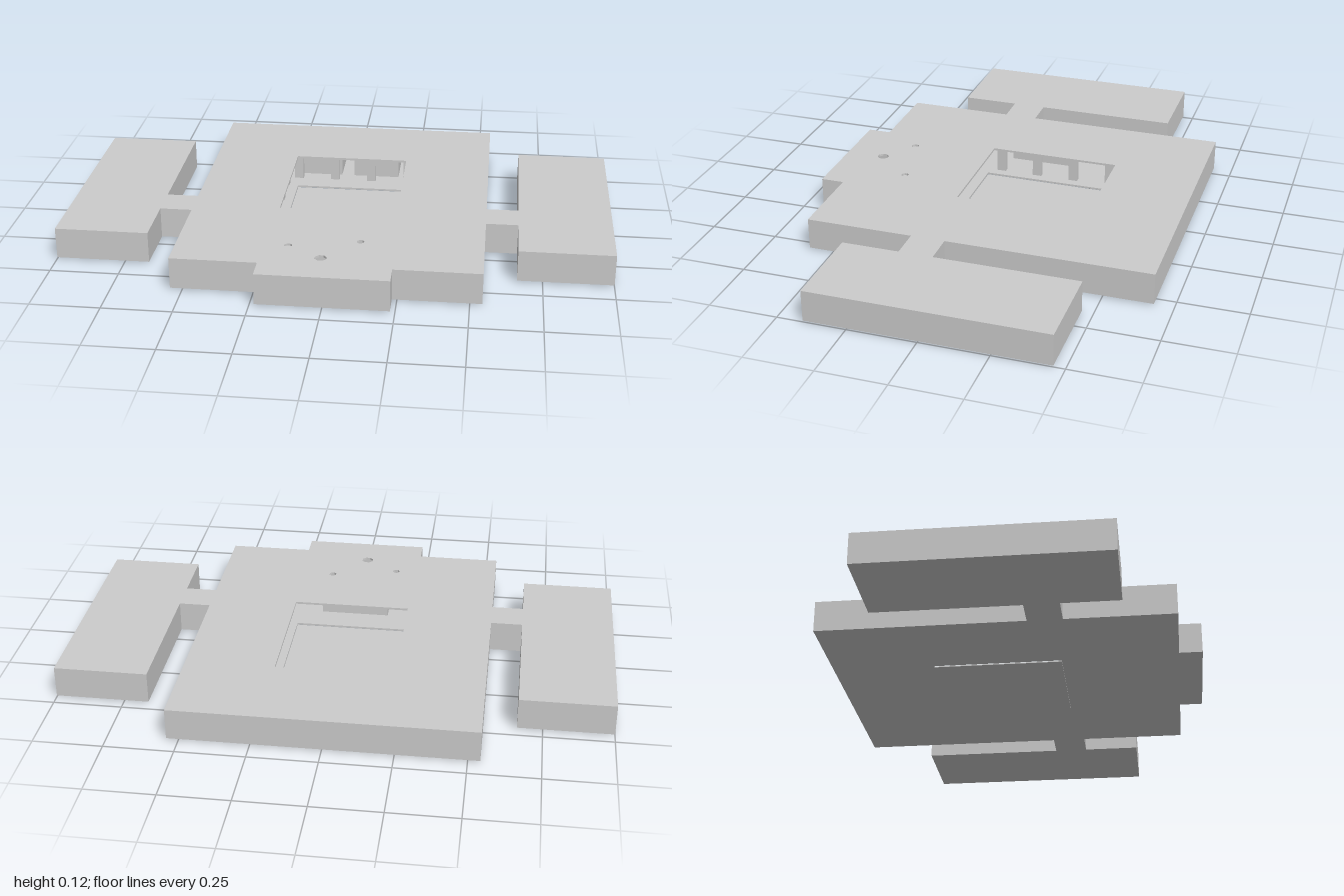
import * as THREE from 'three';

const material = new THREE.MeshStandardMaterial({ color: 0xcccccc, flatShading: true, side: THREE.DoubleSide });

// Plan points are [x, z]; the shape's y is -z so the extrusion can be laid flat.
const toPoints = (pts) => pts.map(([x, z]) => new THREE.Vector2(x, -z));
const rect = (x0, z0, x1, z1) => [[x0, z0], [x1, z0], [x1, z1], [x0, z1]];
const ring = (cx, cz, r, n = 8) => Array.from({ length: n }, (_, i) => {
  const a = (i / n) * Math.PI * 2 + Math.PI / n;
  return [cx + r * Math.cos(a), cz + r * Math.sin(a)];
});

// Plan of the hall, its front porch and the two side wings.
const half = [
  [0.233, 0.675], [0.233, 0.59], [0.543, 0.59], [0.543, 0.195], [0.66, 0.195], [0.66, 0.405],
  [1, 0.405], [1, -0.46], [0.66, -0.46], [0.66, 0.07], [0.543, 0.07], [0.543, -0.68],
];
const outline = [...half, ...half.map(([x, z]) => [-x, z]).reverse()];

export function createModel() {
  const group = new THREE.Group();

  const slab = (name, pts, holes, y0, y1) => {
    const shape = new THREE.Shape(toPoints(pts));
    holes.forEach((h) => shape.holes.push(new THREE.Path(toPoints(h))));
    const geometry = new THREE.ExtrudeGeometry(shape, { depth: y1 - y0, bevelEnabled: false });
    geometry.rotateX(-Math.PI / 2).translate(0, y0, 0);
    const mesh = new THREE.Mesh(geometry, material);
    mesh.name = name;
    group.add(mesh);
  };
  const box = (name, x, z, w, d, y0, y1) => {
    const mesh = new THREE.Mesh(new THREE.BoxGeometry(w, y1 - y0, d), material);
    mesh.position.set(x, (y0 + y1) / 2, z);
    mesh.name = name;
    group.add(mesh);
  };

  // Floor, walls around the hollow hall, and roof with courtyard and vents
  slab('floor', outline, [rect(-0.215, -0.305, 0.215, 0.165)], 0.005, 0.012);
  slab('walls', outline, [rect(-0.52, -0.655, 0.52, 0.565)], 0.012, 0.112);
  slab('roof', outline, [
    rect(-0.22, -0.35, 0.215, 0.14),
    ring(-0.145, 0.445, 0.014), ring(0.105, 0.39, 0.014), ring(-0.02, 0.53, 0.022),
  ], 0.112, 0.12);

  // Sunken courtyard floor
  box('courtyardFloor', 0, -0.07, 0.43, 0.47, 0, 0.004);

  // Rooms around the courtyard: x, z, width, depth
  [
    [0.39, -0.5, 0.2, 0.14], [0.09, -0.51, 0.18, 0.16], [-0.14, -0.51, 0.18, 0.16],
    [-0.42, -0.48, 0.16, 0.2], [0.42, -0.05, 0.16, 0.26], [0.4, 0.35, 0.2, 0.24],
    [0, 0.32, 0.26, 0.1], [-0.39, 0.35, 0.2, 0.24], [-0.44, -0.02, 0.14, 0.26],
  ].forEach(([x, z, w, d]) => box('room', x, z, w, d, 0.012, 0.112));

  // Slim pillars along the courtyard's back and sides
  for (let i = 0; i < 4; i++) {
    const t = i / 3 - 0.5;
    box('backPillar', t * 0.44, -0.39, 0.035, 0.02, 0.012, 0.112);
    for (const s of [-1, 1]) box('sidePillar', s * 0.26, -0.1 + t * 0.44, 0.02, 0.035, 0.012, 0.112);
  }

  return group;
}
